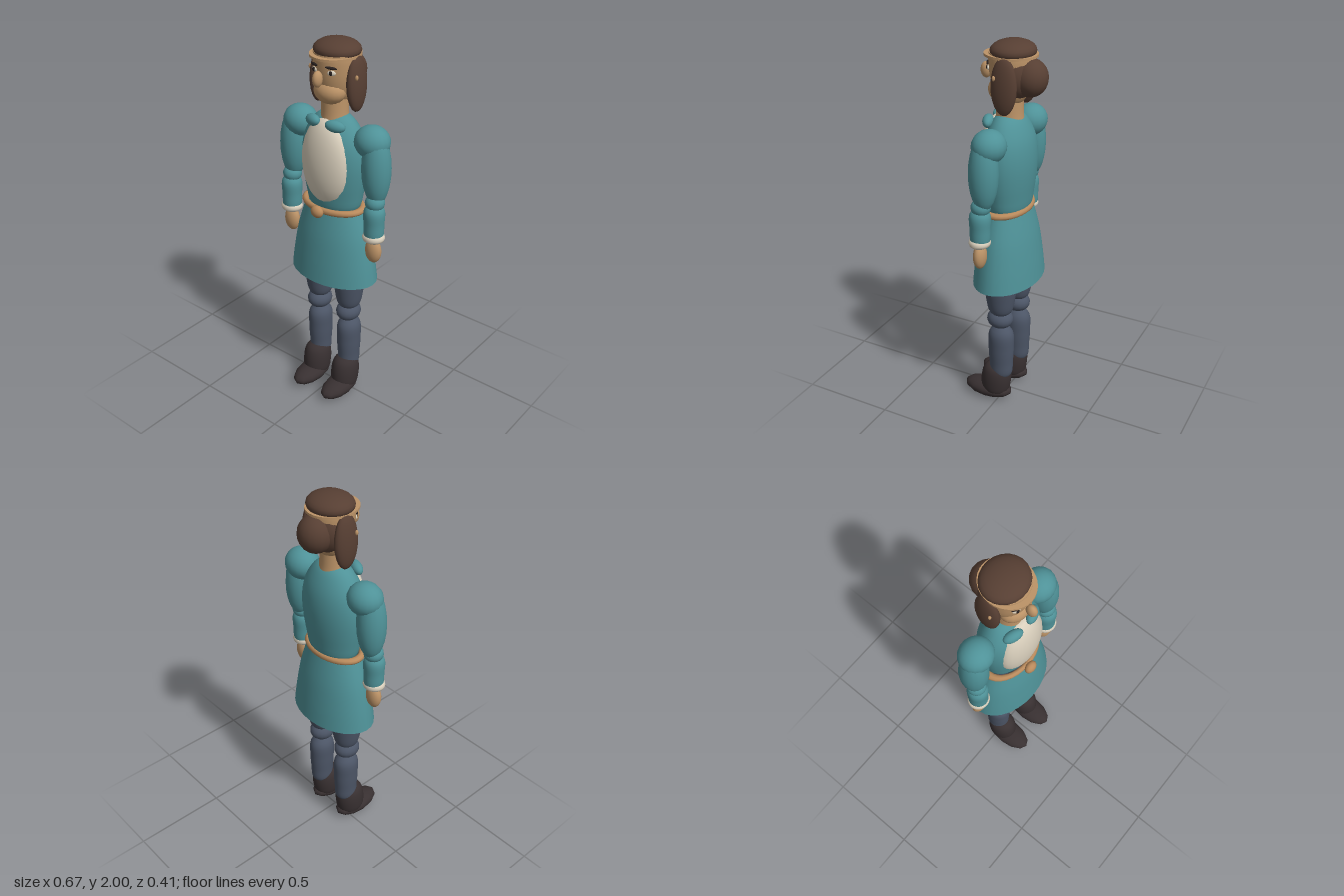
import * as THREE from 'three';

const mat = (name, color, side = THREE.FrontSide) => {
  const m = new THREE.MeshStandardMaterial({ color, side });
  m.name = name;
  return m;
};

export function createModel() {
  const teal = mat('teal cloth', 0x4f9298, THREE.DoubleSide);
  const cream = mat('cream linen', 0xd9cfbc);
  const skin = mat('skin', 0xbd9468);
  const leather = mat('tan leather', 0xb98a5c);
  const brown = mat('brown hair', 0x573f33);
  const slate = mat('slate trousers', 0x4c5566);
  const boot = mat('dark boots', 0x383031);
  const dark = mat('dark features', 0x2a2220);

  const model = new THREE.Group();
  model.name = 'figure';

  function add(name, geometry, material, pos, parent = model) {
    const mesh = new THREE.Mesh(geometry, material);
    mesh.name = name;
    mesh.position.set(...pos);
    parent.add(mesh);
    return mesh;
  }
  // Ellipsoid with the given centre and radii
  function ball(name, material, pos, radii, parent = model, seg = 18) {
    const mesh = add(name, new THREE.SphereGeometry(1, seg, 12), material, pos, parent);
    mesh.scale.set(...radii);
    return mesh;
  }
  // Smooth turned form from [radius, height] pairs, listed upwards
  function turned(name, material, profile, pos, depth = 1, parent = model) {
    const curve = new THREE.SplineCurve(profile.map(([r, y]) => new THREE.Vector2(r, y)));
    const pts = curve.getPoints(profile.length * 4).map(p => p.setX(Math.max(p.x, 0)));
    const mesh = add(name, new THREE.LatheGeometry(pts, 28), material, pos, parent);
    mesh.scale.z = depth;
    return mesh;
  }
  function ring(name, material, pos, radius, tube, scale, parent = model) {
    const geo = new THREE.TorusGeometry(radius, tube, 10, 32).rotateX(Math.PI / 2);
    const mesh = add(name, geo, material, pos, parent);
    mesh.scale.set(...scale);
    return mesh;
  }

  // Body and clothing
  turned('torso', teal, [[0, 1.11], [0.13, 1.13], [0.165, 1.23], [0.185, 1.38],
    [0.172, 1.5], [0.125, 1.59], [0.07, 1.635], [0, 1.645]], [0, 0, -0.012], 0.69);
  turned('skirt', teal, [[0.255, 0.74], [0.238, 0.86], [0.21, 1.0], [0.165, 1.14]],
    [0, 0, -0.01], 0.66);
  ball('shirtFront', cream, [0, 1.39, 0.055], [0.144, 0.232, 0.08], model, 28);
  ring('belt', leather, [0, 1.145, -0.004], 0.165, 0.02, [1, 0.85, 0.66]);
  ball('beltBuckle', leather, [0, 1.145, 0.13], [0.036, 0.033, 0.025]);

  // Head and face
  turned('neck', skin, [[0.075, 1.58], [0.068, 1.64], [0.066, 1.74]], [0, 0, -0.012]);
  turned('head', skin, [[0, 1.685], [0.05, 1.695], [0.085, 1.75], [0.105, 1.82],
    [0.112, 1.9], [0.11, 1.94]], [0, 0, -0.022]);
  ball('jaw', skin, [0, 1.755, 0.025], [0.085, 0.065, 0.07]);
  ball('nose', skin, [0, 1.835, 0.117], [0.022, 0.04, 0.029]);
  add('headband', new THREE.CylinderGeometry(1, 1, 0.012, 32), skin, [0, 1.927, -0.018])
    .scale.set(0.12, 1, 0.134);

  // Hair
  ball('hairCap', brown, [0, 1.947, -0.03], [0.12, 0.053, 0.111], model, 22);
  ball('backHair', brown, [0, 1.835, -0.06], [0.11, 0.12, 0.085]);
  ball('hairBun', brown, [0, 1.825, -0.12], [0.088, 0.094, 0.088]);

  // Paired parts: s = 1 is the model's left side
  for (const s of [1, -1]) {
    const side = new THREE.Group();
    side.name = s > 0 ? 'leftSide' : 'rightSide';
    model.add(side);

    // Face and hair details
    ball('sideHair', brown, [s * 0.112, 1.797, -0.036], [0.034, 0.14, 0.068], side)
      .rotation.z = s * 0.03;
    ball('earTip', skin, [s * 0.141, 1.84, 0.002], [0.008, 0.013, 0.008], side, 8);
    ball('eyeWhite', cream, [s * 0.051, 1.863, 0.076], [0.021, 0.013, 0.008], side, 12)
      .rotation.y = s * 0.4;
    ball('pupil', dark, [s * 0.05, 1.864, 0.083], [0.01, 0.011, 0.005], side, 12);
    const brow = ball('eyebrow', dark, [s * 0.05, 1.888, 0.079], [0.029, 0.007, 0.008], side, 10);
    brow.rotation.set(0, s * 0.4, s * -0.08);

    // Collar
    ball('collar', teal, [s * 0.069, 1.603, 0.072], [0.052, 0.03, 0.028], side)
      .rotation.set(0, s * 0.35, s * -0.12);

    // Arm
    ball('shoulderPuff', teal, [s * 0.225, 1.537, -0.017], [0.092, 0.083, 0.085], side);
    ball('upperArm', teal, [s * 0.261, 1.41, -0.006], [0.073, 0.195, 0.075], side)
      .rotation.z = s * 0.03;
    ball('elbow', teal, [s * 0.268, 1.235, 0.008], [0.05, 0.045, 0.05], side);
    turned('forearm', teal, [[0, 1.03], [0.045, 1.04], [0.052, 1.12], [0.05, 1.2], [0, 1.25]],
      [s * 0.269, 0, 0.013], 1, side);
    ring('cuff', cream, [s * 0.27, 1.046, 0.015], 0.038, 0.021, [1, 1.05, 0.93], side);
    ball('hand', skin, [s * 0.27, 0.968, 0.015], [0.046, 0.068, 0.032], side);

    // Leg
    turned('thigh', slate, [[0, 0.55], [0.055, 0.565], [0.077, 0.66], [0.086, 0.77],
      [0.075, 0.88], [0, 0.96]], [s * 0.1, 0, -0.01], 1.04, side);
    ball('knee', slate, [s * 0.1, 0.52, -0.007], [0.065, 0.055, 0.072], side);
    turned('shin', slate, [[0, 0.14], [0.05, 0.17], [0.058, 0.25], [0.062, 0.34],
      [0.057, 0.44], [0, 0.5]], [s * 0.1, 0, -0.012], 1.13, side);

    // Boot
    const shaft = turned('bootShaft', boot, [[0, 0.03], [0.06, 0.05], [0.073, 0.12],
      [0.066, 0.19], [0.04, 0.223], [0, 0.23]], [s * 0.1, 0, 0.032], 1.15, side);
    shaft.rotation.x = -0.1;
    ball('bootFoot', boot, [s * 0.1, 0.053, 0.068], [0.072, 0.05, 0.14], side, 12);
  }
  return model;
}
